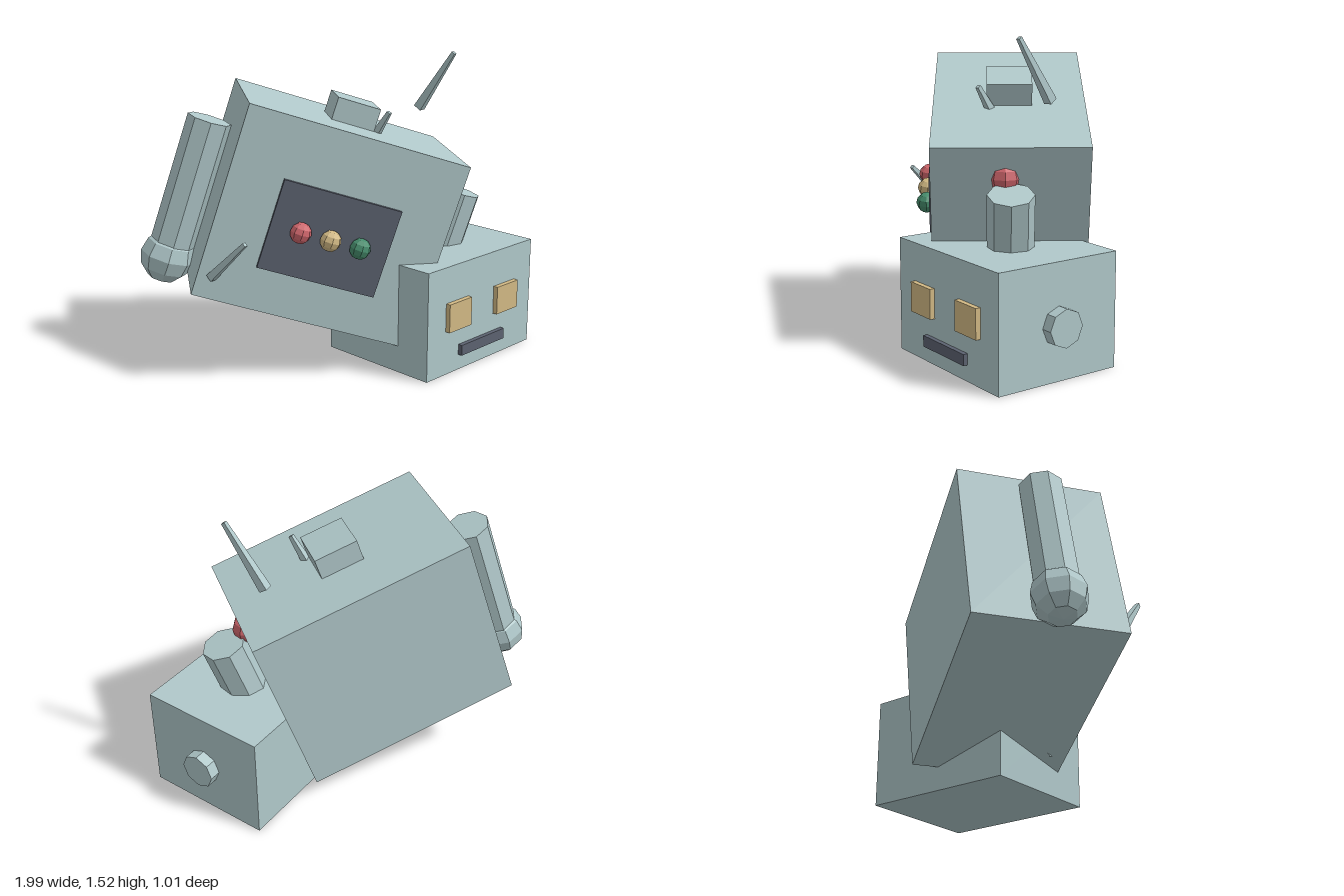
import * as THREE from 'three';

const mat = (name, color) => new THREE.MeshStandardMaterial({ name, color, flatShading: true });

export function createModel() {
  const metal = mat('pale metal', 0xb0c8ca);
  const dark = mat('dark panel', 0x5c6270);
  const gold = mat('gold', 0xd2b984);
  const red = mat('red', 0xcf666c);
  const green = mat('green', 0x468c6c);

  const model = new THREE.Group();
  model.name = 'brokenRobot';

  const add = (parent, name, geometry, material, x, y, z) => {
    const mesh = new THREE.Mesh(geometry, material);
    mesh.name = name;
    mesh.position.set(x, y, z);
    parent.add(mesh);
    return mesh;
  };
  const box = (w, h, d) => new THREE.BoxGeometry(w, h, d);
  const ball = (r) => new THREE.SphereGeometry(r, 8, 6);

  // Tilted torso with neck stump
  const torso = new THREE.Group();
  torso.name = 'torso';
  torso.position.set(-0.104, 0.744, -0.025);
  torso.rotation.z = THREE.MathUtils.degToRad(-18.1);
  model.add(torso);
  add(torso, 'body', box(1.106, 0.95, 0.74), metal, 0, 0, 0);
  add(torso, 'neck', box(0.22, 0.17, 0.22), metal, 0, 0.503, 0);

  // Chest panel and buttons
  add(torso, 'chestPanel', box(0.59, 0.443, 0.04), dark, 0, -0.04, 0.371);
  [red, gold, green].forEach((m, i) =>
    add(torso, 'button', ball(0.052), m, (i - 1) * 0.149, -0.04, 0.411));

  // Arms with ball hands
  for (const side of [-1, 1]) {
    add(torso, 'arm', new THREE.CylinderGeometry(0.11, 0.11, 0.72, 8), metal, side * 0.663, -0.066, 0);
    add(torso, 'hand', ball(0.135), metal, side * 0.667, -0.426, 0);
  }

  // Red lamp on the shoulder side
  add(model, 'sideLamp', ball(0.076), red, 0.487, 0.87, 0);

  // Detached head lying beside the torso
  const head = new THREE.Group();
  head.name = 'head';
  head.position.set(0.473, 0, -0.002);
  head.rotation.y = THREE.MathUtils.degToRad(35.2);
  model.add(head);
  add(head, 'skull', box(0.806, 0.555, 0.66), metal, 0, 0.2775, 0);
  add(head, 'mouth', box(0.335, 0.054, 0.04), dark, 0, 0.106, 0.333);
  for (const side of [-1, 1]) {
    add(head, 'eye', box(0.167, 0.145, 0.04), gold, side * 0.185, 0.298, 0.335);
    const ear = add(head, 'ear', new THREE.CylinderGeometry(0.091, 0.091, 0.1, 8), metal, side * 0.41, 0.262, 0);
    ear.rotation.z = Math.PI / 2;
  }

  // Loose tapered rods, given as base point, tip point, base radius
  const rods = [
    [[0.445, 1.22, -0.208], [0.583, 1.518, -0.06], 0.031],
    [[0.155, 1.13, 0.06], [0.216, 1.262, 0.125], 0.026],
    [[-0.68, 0.545, 0.35], [-0.53, 0.742, 0.493], 0.027],
  ];
  for (const [a, b, r] of rods) {
    const base = new THREE.Vector3(...a);
    const dir = new THREE.Vector3(...b).sub(base);
    const length = dir.length();
    const mid = base.clone().addScaledVector(dir, 0.5);
    const rod = add(model, 'rod', new THREE.CylinderGeometry(0.014, r, length, 4), metal, mid.x, mid.y, mid.z);
    rod.quaternion.setFromUnitVectors(new THREE.Vector3(0, 1, 0), dir.normalize());
  }

  return model;
}
